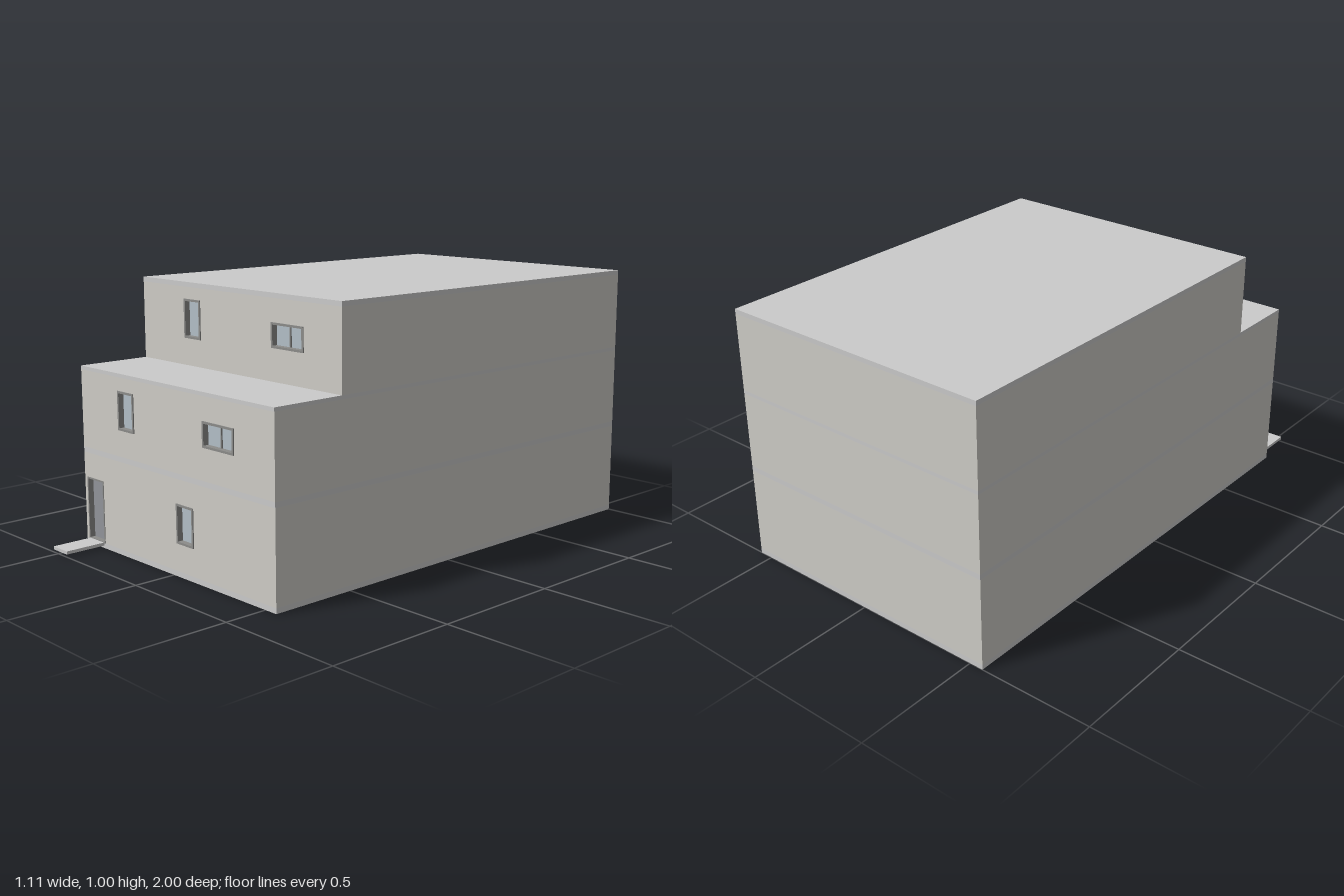
import * as THREE from 'three';

const HALF = 0.555, BACK = -1, RECESS = 0.03;
const LOWER = 0.835, UPPER = 0.54; // front planes of the storeys

const mat = (color) => new THREE.MeshStandardMaterial({ color });
const wallMat = mat(0xcfcdc7);
const slabMat = mat(0xc0c0be);
const frameMat = mat(0x8c8c8a);
const glassMat = mat(0xb4c0c8);
const doorMat = mat(0x92959a);

// Box given by its min and max corners
function box(name, material, x0, x1, y0, y1, z0, z1) {
  const mesh = new THREE.Mesh(new THREE.BoxGeometry(x1 - x0, y1 - y0, z1 - z0), material);
  mesh.position.set((x0 + x1) / 2, (y0 + y1) / 2, (z0 + z1) / 2);
  mesh.name = name;
  return mesh;
}

function trace(path, x0, x1, y0, y1) {
  path.moveTo(x0, y0);
  path.lineTo(x1, y0);
  path.lineTo(x1, y1);
  path.lineTo(x0, y1);
  path.closePath();
  return path;
}

// Rectangular plate with rectangular holes, from z0 to z1
function plate(name, material, rect, holes, z0, z1) {
  const shape = trace(new THREE.Shape(), ...rect);
  for (const h of holes) shape.holes.push(trace(new THREE.Path(), ...h));
  const geo = new THREE.ExtrudeGeometry(shape, { depth: z1 - z0, bevelEnabled: false });
  const mesh = new THREE.Mesh(geo, material);
  mesh.position.z = z0;
  mesh.name = name;
  return mesh;
}

const inset = ([x0, x1, y0, y1], d) => [x0 + d, x1 - d, y0 + d, y1 - d];

// Framed window with one or two recessed panes
function makeWindow(rect, front, panes) {
  const g = new THREE.Group();
  g.name = 'window';
  const inner = inset(rect, 0.008);
  const [x0, x1, y0, y1] = inner;
  const z = front - RECESS;
  g.add(plate('windowFrame', frameMat, rect, [inner], z, front + 0.004));
  g.add(box('glass', glassMat, x0, x1, y0, y1, z, z + 0.012));
  if (panes === 2) {
    const m = (x0 + x1) / 2;
    g.add(box('mullion', frameMat, m - 0.002, m + 0.002, y0, y1, z, z + 0.018));
  }
  return g;
}

// Framed door with a small handle
function makeDoor(rect, front) {
  const g = new THREE.Group();
  g.name = 'door';
  const [x0, x1, y0, y1] = rect;
  const z = front - RECESS;
  const opening = [x0 + 0.006, x1 - 0.006, y0 + 0.004, y1 - 0.006];
  g.add(plate('doorFrame', frameMat, rect, [opening], z, front + 0.002));
  g.add(box('doorPanel', doorMat, ...opening, z, z + 0.01));
  const knob = new THREE.Mesh(new THREE.SphereGeometry(0.004, 12, 8), frameMat);
  knob.position.set(x1 - 0.016, 0.13, z + 0.013);
  knob.name = 'doorHandle';
  g.add(knob);
  return g;
}

export function createModel() {
  const house = new THREE.Group();
  house.name = 'house';
  const door = [-0.538, -0.431, 0.02, 0.262];

  // Storeys: wall height range, front plane, and windows [rect, pane count]
  const storeys = [
    { y0: 0.02, y1: 0.357, front: LOWER, door, windows: [[[0.024, 0.12, 0.123, 0.268], 1]] },
    { y0: 0.377, y1: 0.673, front: LOWER, windows: [
      [[-0.317, -0.22, 0.477, 0.623], 1], [[0.182, 0.35, 0.495, 0.587], 2]] },
    { y0: 0.687, y1: 0.982, front: UPPER, windows: [
      [[-0.298, -0.202, 0.79, 0.937], 1], [[0.2, 0.367, 0.807, 0.897], 2]] },
  ];
  storeys.forEach(({ y0, y1, front, windows, door: d }, i) => {
    const storey = new THREE.Group();
    storey.name = `storey${i + 1}`;
    const holes = windows.map(([rect]) => rect);
    // The door opening starts just above the floor slab so the hole stays inside
    if (d) holes.push([d[0], d[1], d[2] + 0.001, d[3]]);
    storey.add(box('walls', wallMat, -HALF, HALF, y0, y1, BACK, front - RECESS));
    storey.add(plate('frontWall', wallMat, [-HALF, HALF, y0, y1], holes, front - RECESS, front));
    for (const [rect, panes] of windows) storey.add(makeWindow(rect, front, panes));
    if (d) storey.add(makeDoor(d, front));
    house.add(storey);
  });

  // Floor and roof slabs, flush with the walls
  const slabs = [
    ['baseSlab', 0, 0.02, LOWER], ['firstFloorSlab', 0.357, 0.377, LOWER],
    ['terraceSlab', 0.673, 0.687, LOWER], ['roofSlab', 0.982, 1, UPPER],
  ];
  for (const [name, y0, y1, front] of slabs) {
    house.add(box(name, slabMat, -HALF, HALF, y0, y1, BACK, front));
  }

  // Thin doorstep in front of the entrance
  house.add(box('doorstep', slabMat, -0.53, -0.44, 0.01, 0.022, LOWER - 0.01, 1));
  return house;
}
